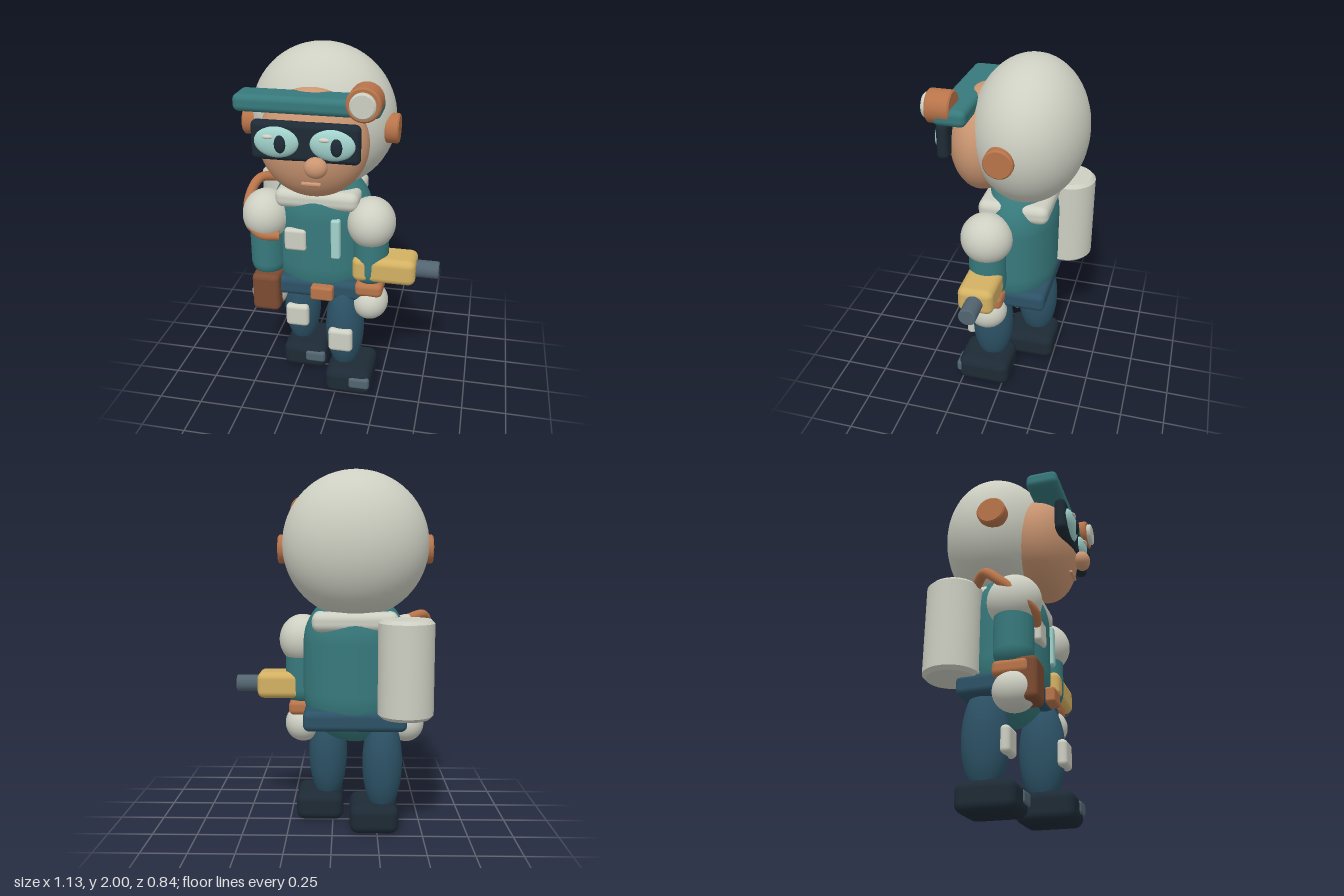
import * as THREE from 'three';
import { RoundedBoxGeometry } from 'three/addons/geometries/RoundedBoxGeometry.js';

const colours = {
  pale: 0xcdcfc2, teal: 0x37797c, navy: 0x2c5266, dark: 0x1d2a35, copper: 0xb8744a,
  skin: 0xcb9672, brown: 0x7c4b32, gold: 0xd3b162, slate: 0x526470, lightTeal: 0xa2d2cc,
};

export function createModel() {
  const model = new THREE.Group();
  model.name = 'explorer';
  const mats = {};
  for (const [name, color] of Object.entries(colours)) {
    mats[name] = new THREE.MeshStandardMaterial({ color });
    mats[name].name = name;
  }

  const add = (name, geometry, colour, pos) => {
    const mesh = new THREE.Mesh(geometry, mats[colour]);
    mesh.name = name;
    mesh.position.set(...pos);
    model.add(mesh);
    return mesh;
  };
  const ball = (name, colour, pos, radii) => {
    const g = new THREE.SphereGeometry(1, 48, 32);
    g.scale(...radii);
    return add(name, g, colour, pos);
  };
  const box = (name, colour, pos, size, radius = 0.03) =>
    add(name, new RoundedBoxGeometry(...size, 3, radius), colour, pos);
  // Cylinder with a bevelled rim, axis along y
  const drum = (name, colour, pos, r, h, b = 0.01) => {
    const profile = [
      [0, -h / 2], [r - b, -h / 2], [r - b, -h / 2], [r, -h / 2 + b], [r, -h / 2 + b],
      [r, h / 2 - b], [r, h / 2 - b], [r - b, h / 2], [r - b, h / 2], [0, h / 2],
    ].map(([x, y]) => new THREE.Vector2(x, y));
    return add(name, new THREE.LatheGeometry(profile, 40), colour, pos);
  };

  const cx = -0.125; // body centre line

  // Head
  ball('helmet', 'pale', [cx, 1.6, -0.09], [0.4, 0.4, 0.315]);
  ball('face', 'skin', [cx, 1.53, 0.16], [0.295, 0.295, 0.19]);
  box('mask', 'dark', [cx, 1.587, 0.325], [0.56, 0.205, 0.065], 0.03);
  ball('nose', 'skin', [-0.065, 1.47, 0.37], [0.06, 0.055, 0.047]);
  box('mouth', 'skin', [-0.103, 1.36, 0.322], [0.105, 0.02, 0.02], 0.008);
  for (const s of [-1, 1]) {
    const ex = cx + s * 0.143;
    ball('eye', 'lightTeal', [ex, 1.587, 0.35], [0.117, 0.082, 0.038]);
    ball('pupil', 'dark', [ex + 0.025, 1.585, 0.382], [0.03, 0.046, 0.016]);
    ball('eyeGlint', 'pale', [ex - 0.036, 1.62, 0.38], [0.028, 0.012, 0.014]);
    drum('earCap', 'copper', [cx + s * 0.39, 1.575, -0.02], 0.08, 0.075, 0.008).rotation.z = Math.PI / 2;
  }

  // Brow visor with head lamp
  box('browVisor', 'teal', [cx, 1.765, 0.248], [0.75, 0.09, 0.175], 0.032);
  drum('lampHousing', 'copper', [0.17, 1.8, 0.305], 0.087, 0.13, 0.008).rotation.x = Math.PI / 2;
  drum('lampLens', 'pale', [0.17, 1.8, 0.38], 0.065, 0.03, 0.008).rotation.x = Math.PI / 2;

  // Torso, collar and belt
  const torso = new THREE.CapsuleGeometry(0.29, 0.28, 16, 48);
  torso.scale(1, 1, 0.74);
  add('torso', torso, 'teal', [cx, 0.92, -0.04]);
  box('collar', 'pale', [cx, 1.185, -0.042], [0.47, 0.11, 0.395], 0.045);
  box('belt', 'navy', [cx, 0.643, -0.04], [0.57, 0.115, 0.41], 0.035);
  box('buckle', 'copper', [-0.085, 0.643, 0.185], [0.13, 0.085, 0.06], 0.015);
  box('chestPatch', 'pale', [-0.238, 0.955, 0.16], [0.125, 0.13, 0.05], 0.018);
  box('chestStripe', 'lightTeal', [-0.01, 0.977, 0.16], [0.052, 0.235, 0.045], 0.012);

  // Arms
  for (const s of [-1, 1]) {
    const ax = cx + s * 0.3;
    ball('shoulder', 'pale', [ax, 1.06, 0.08], [0.135, 0.145, 0.145]);
    const arm = new THREE.CapsuleGeometry(0.1, 0.2, 12, 32);
    arm.scale(1, 1, 1.05);
    add('arm', arm, 'teal', [ax, 0.875, 0.077]);
    box('cuff', 'copper', [ax, 0.67, 0.079], [0.158, 0.085, 0.195], 0.03);
    ball('glove', 'pale', [ax, 0.565, 0.085], [0.105, 0.108, 0.115]);
  }

  // Arm tool
  box('toolBody', 'gold', [0.258, 0.8, 0.08], [0.355, 0.152, 0.2], 0.04);
  drum('toolBarrel', 'slate', [0.485, 0.8, 0.08], 0.049, 0.15, 0.004).rotation.z = Math.PI / 2;

  // Hip pouch
  box('pouch', 'brown', [-0.415, 0.61, 0.115], [0.16, 0.23, 0.2], 0.03);

  // Back tank and hose
  drum('tank', 'pale', [-0.395, 0.945, -0.268], 0.15, 0.53, 0.02);
  const path = new THREE.CatmullRomCurve3([
    [-0.41, 1.2, -0.14], [-0.5, 1.215, -0.06], [-0.538, 1.13, 0.04],
    [-0.505, 1.03, 0.15], [-0.43, 0.98, 0.19], [-0.33, 0.97, 0.17],
  ].map((p) => new THREE.Vector3(...p)));
  add('hose', new THREE.TubeGeometry(path, 48, 0.027, 16), 'copper', [0, 0, 0]);
  const end = new THREE.CircleGeometry(0.027, 16);
  end.lookAt(path.getTangent(1));
  add('hoseEnd', end, 'copper', path.getPoint(1).toArray());

  // Legs in mid stride: the left one is forward
  for (const [s, z] of [[-1, -0.115], [1, 0.095]]) {
    const lx = cx + s * 0.155;
    ball('leg', 'navy', [lx, 0.385, z], [0.112, 0.29, 0.125]);
    box('kneePad', 'pale', [lx - 0.003, 0.358, z + 0.122], [0.142, 0.147, 0.055], 0.025);
    box('boot', 'dark', [cx + 0.046 + s * 0.155, 0.084, z + 0.022], [0.272, 0.162, 0.315], 0.05);
    box('toeCap', 'slate', [cx + 0.115 + s * 0.155, 0.098, z + 0.168], [0.122, 0.072, 0.04], 0.018);
  }

  return model;
}
